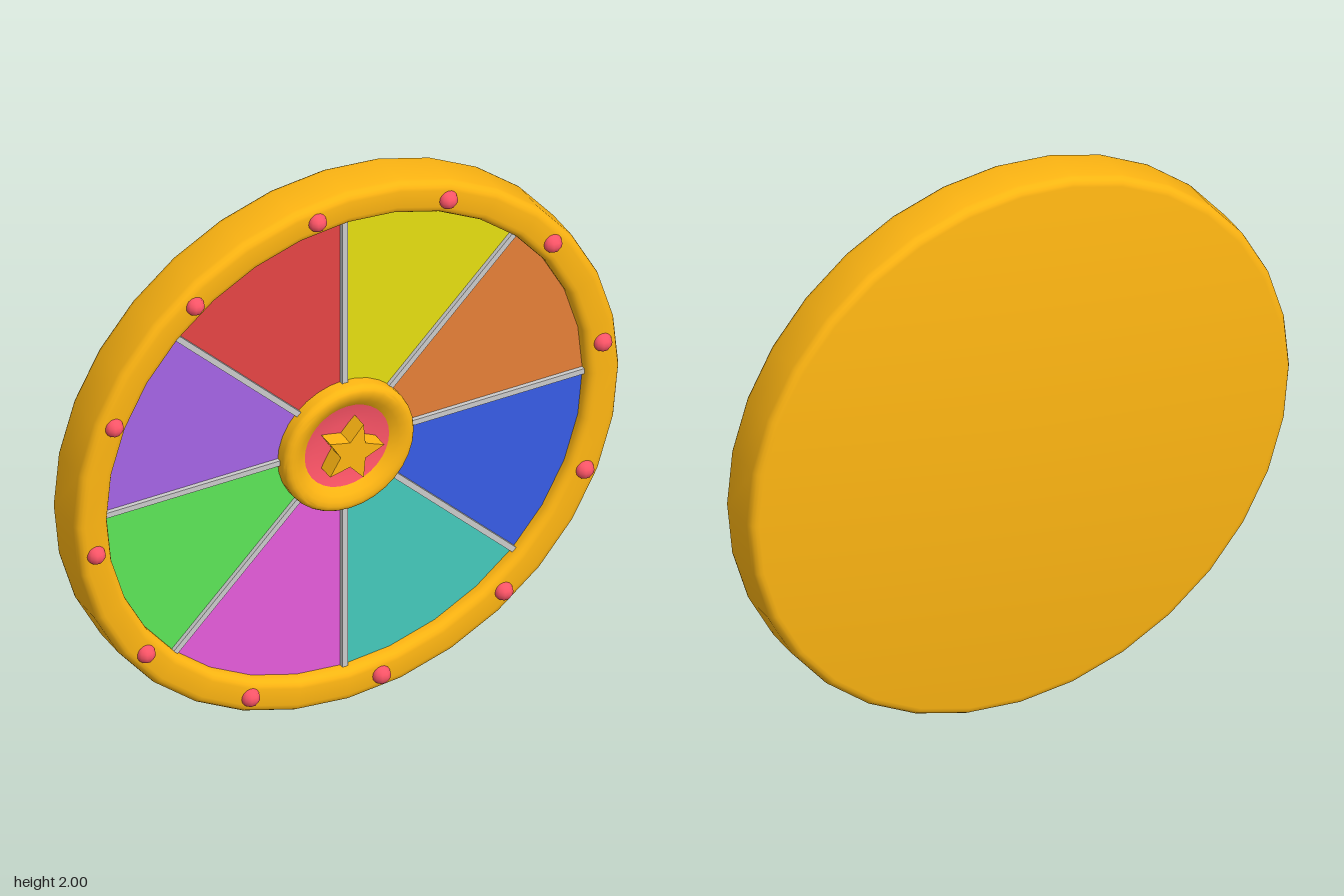
import * as THREE from 'three';
import { toCreasedNormals } from 'three/addons/utils/BufferGeometryUtils.js';

const mat = (color) => new THREE.MeshStandardMaterial({ color });
const GOLD = mat(0xffb612);
const PINK = mat(0xff5568);
const GREY = mat(0xcccccc);

// Quarter-round corner: centre (r, z), radius, start angle in degrees
function corner(r, z, radius, start, steps = 4) {
  return Array.from({ length: steps + 1 }, (_, i) => {
    const a = THREE.MathUtils.degToRad(start + (90 * i) / steps);
    return [r + radius * Math.cos(a), z + radius * Math.sin(a)];
  });
}

// Turned part around the z axis from [radius, z] pairs
function turned(name, profile, segments, material) {
  const pts = profile.map(([r, z]) => new THREE.Vector2(r, z));
  const geo = new THREE.LatheGeometry(pts, segments).rotateX(Math.PI / 2);
  const mesh = new THREE.Mesh(toCreasedNormals(geo, 0.6), material);
  mesh.name = name;
  return mesh;
}

export function createModel() {
  const model = new THREE.Group();
  model.name = 'prizeWheel';
  const wheel = new THREE.Group();
  wheel.name = 'wheel';
  wheel.position.y = 1;
  model.add(wheel);

  // Rim and closed back
  wheel.add(turned('rim', [
    [0, -0.11],
    ...corner(0.97, -0.08, 0.03, -90),
    ...corner(0.97, 0.045, 0.03, 0),
    ...corner(0.91, 0.045, 0.03, 90),
    [0.88, 0.02],
  ], 32, GOLD));

  // Eight coloured sectors, counter-clockwise from +x
  const colors = [0xe68038, 0xe6e010, 0xe64545, 0xa565e6, 0x5ce658, 0xe65cdc, 0x45cabc, 0x385ce6];
  colors.forEach((color, i) => {
    const geo = new THREE.CircleGeometry(0.885, 4, (i * Math.PI) / 4, Math.PI / 4);
    const panel = new THREE.Mesh(geo, mat(color));
    panel.name = `panel${i + 1}`;
    panel.position.z = 0.03;
    wheel.add(panel);
  });

  // Dividers between the sectors
  for (let i = 0; i < 8; i++) {
    const geo = new THREE.BoxGeometry(0.69, 0.02, 0.03).translate(0.535, 0, 0.03);
    const divider = new THREE.Mesh(geo, GREY);
    divider.name = `divider${i + 1}`;
    divider.rotation.z = (i * Math.PI) / 4;
    wheel.add(divider);
  }

  // Studs around the rim
  for (let i = 0; i < 12; i++) {
    const a = THREE.MathUtils.degToRad(7.2 + 30 * i);
    const stud = new THREE.Mesh(new THREE.SphereGeometry(0.033, 10, 8), PINK);
    stud.name = `stud${i + 1}`;
    stud.position.set(0.938 * Math.cos(a), 0.938 * Math.sin(a), 0.073);
    wheel.add(stud);
  }

  // Hub ring with a shallow dish
  wheel.add(turned('hubRing', [
    [0.24, 0.02],
    ...corner(0.215, 0.062, 0.025, 0),
    [0.2, 0.085], [0.18, 0.077], [0.155, 0.058],
  ], 32, GOLD));
  wheel.add(turned('hubDish', [[0.156, 0.058], [0.12, 0.049], [0.08, 0.045], [0, 0.044]], 32, PINK));

  // Star in the hub
  const star = new THREE.Shape();
  for (let i = 0; i < 10; i++) {
    const r = i % 2 ? 0.05 : 0.11;
    const a = (i * Math.PI) / 5;
    star[i ? 'lineTo' : 'moveTo'](r * Math.cos(a), r * Math.sin(a));
  }
  star.closePath();
  const starMesh = new THREE.Mesh(
    new THREE.ExtrudeGeometry(star, { depth: 0.07, bevelEnabled: false }), GOLD);
  starMesh.name = 'star';
  starMesh.position.z = 0.04;
  wheel.add(starMesh);

  return model;
}
